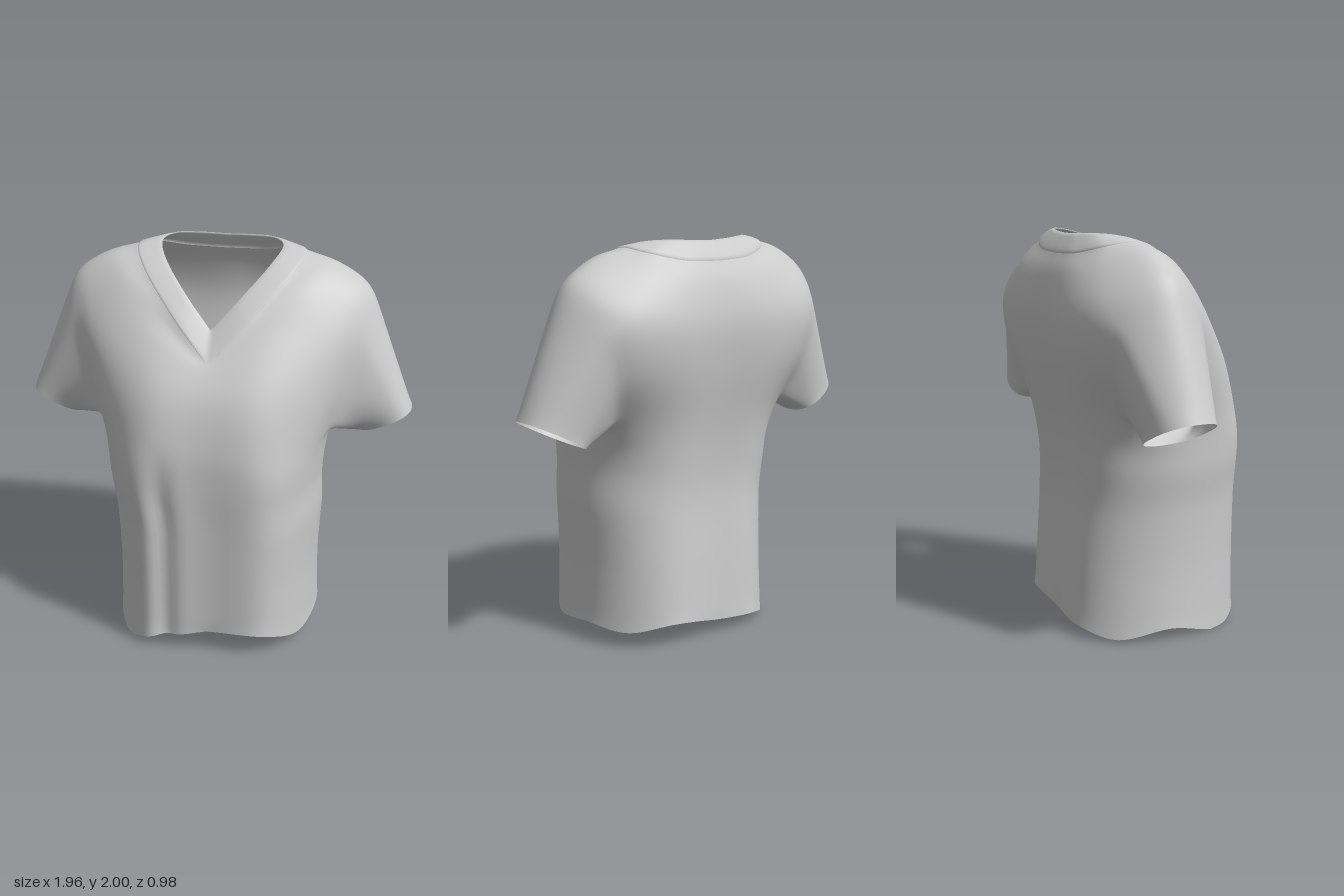
import * as THREE from 'three';
import { mergeVertices } from 'three/addons/utils/BufferGeometryUtils.js';

const SUB = 10; // subdivisions per control span
const V = (a) => new THREE.Vector3(...a);
const CENTRE = new THREE.Vector3(0, 1.7, -0.15);

// Half cross-sections, each running front centre -> side -> back centre.
const section = [[0, 0.465], [0.3, 0.477], [0.468, 0.3], [0.545, -0.02], [0.46, -0.25], [0.28, -0.375], [0, -0.37]];
const level = (y, sx, back) => section.map(([x, z], i) =>
  V([x * sx, Array.isArray(y) ? y[i] : y, z < 0 ? z * back : z]));

const collarOuter = [[0, 1.525, 0.295], [0.2, 1.73, 0.165], [0.37, 1.905, -0.02], [0.42, 1.96, -0.17],
  [0.37, 1.94, -0.3], [0.2, 1.9, -0.38], [0, 1.89, -0.395]].map(V);
const collarInner = [[0, 1.66, 0.18], [0.14, 1.81, 0.09], [0.265, 1.94, -0.06], [0.3, 1.985, -0.2],
  [0.25, 1.995, -0.285], [0.12, 1.99, -0.325], [0, 1.985, -0.335]].map(V);

const bodyRows = [
  level([0.12, 0.095, 0.025, 0.08, 0.05, 0.09, 0.08], 0.97, 1.07),
  level(0.4, 0.96, 1.02),
  level(0.75, 0.995, 0.96),
  level(0.98, 1.025, 1.01),
  // armpit, chest, upper arm and shoulder
  [[0, 1.13, 0.458], [0.3, 1.13, 0.457], [0.52, 1.13, 0.24], [0.585, 1.13, -0.07],
    [0.53, 1.13, -0.27], [0.3, 1.13, -0.405], [0, 1.13, -0.4]].map(V),
  [[0, 1.36, 0.405], [0.28, 1.38, 0.392], [0.57, 1.38, 0.19], [0.7, 1.4, -0.11],
    [0.6, 1.38, -0.38], [0.34, 1.4, -0.475], [0, 1.4, -0.455]].map(V),
  [[0, 1.475, 0.34], [0.3, 1.62, 0.24], [0.6, 1.65, 0.1], [0.765, 1.785, -0.15],
    [0.65, 1.65, -0.395], [0.36, 1.62, -0.49], [0, 1.62, -0.475]].map(V),
  [[0, 1.51, 0.308], [0.26, 1.71, 0.17], [0.48, 1.855, 0.02], [0.585, 1.92, -0.17],
    [0.49, 1.84, -0.35], [0.3, 1.81, -0.43], [0, 1.8, -0.44]].map(V),
  collarOuter,
];

const sample = (points, n) => new THREE.CatmullRomCurve3(points).getPoints(n);
const ring = (points) => sample(points, SUB * (points.length - 1));

// Collects quads for both mirrored halves, then welds them.
function sheet() {
  const pos = [];
  const tri = (p, q, r) => {
    for (const v of [p, q, r]) pos.push(v.x, v.y, v.z);
    for (const v of [p, r, q]) pos.push(-v.x, v.y, v.z);
  };
  return {
    quad(a, b, c, d) { tri(a, b, c); tri(a, c, d); },
    geometry() {
      const g = new THREE.BufferGeometry();
      g.setAttribute('position', new THREE.Float32BufferAttribute(pos, 3));
      return mergeVertices(g, 1e-4);
    },
  };
}

// Relaxes a welded mesh while leaving its open borders in place.
function relax(geo, passes) {
  const p = geo.attributes.position, idx = geo.index.array;
  const near = Array.from({ length: p.count }, () => new Map());
  const link = (a, b) => near[a].set(b, (near[a].get(b) || 0) + 1);
  for (let i = 0; i < idx.length; i += 3) {
    for (let k = 0; k < 3; k++) {
      const a = idx[i + k], b = idx[i + (k + 1) % 3];
      link(a, b);
      link(b, a);
    }
  }
  const pinned = near.map((m) => [...m.values()].includes(1));
  for (let n = 0; n < passes; n++) {
    const old = p.array.slice();
    near.forEach((m, i) => {
      if (pinned[i]) return;
      for (let k = 0; k < 3; k++) {
        let sum = 0;
        for (const j of m.keys()) sum += old[j * 3 + k];
        p.array[i * 3 + k] = 0.5 * old[i * 3 + k] + 0.5 * sum / m.size;
      }
    });
  }
}

// A soft vertical fold down the front, a shifted waist and an uneven hem.
function addFolds(geo) {
  const p = geo.attributes.position;
  for (let i = 0; i < p.count; i++) {
    let x = p.getX(i), y = p.getY(i), z = p.getZ(i);
    const low = THREE.MathUtils.smoothstep(1.2 - y, 0, 0.4);
    const front = THREE.MathUtils.smoothstep(z, 0.2, 0.4);
    z -= low * front * 0.035 * Math.exp(-(((x + 0.21) / 0.055) ** 2));
    if (Math.abs(x) < 0.6) {
      y += 0.18 * x * (1 - (x / 0.6) ** 2) * Math.max(0, 1 - y / 0.5);
      x += 0.018 * THREE.MathUtils.smoothstep(0.9 - y, 0, 0.25);
    }
    p.setXYZ(i, x, Math.max(0, y), z);
  }
}

function bodyGeometry() {
  const out = sheet();
  const rings = bodyRows.map(ring);
  const rows = SUB * (bodyRows.length - 1), cols = rings[0].length - 1;
  const grid = rings[0].map((_, c) => sample(rings.map((r) => r[c]), rows)); // grid[col][row]

  // torso with an armhole left open in the side
  const c0 = 24, c1 = 40, r0 = 40, r1 = 60;
  for (let c = 0; c < cols; c++) {
    for (let r = 0; r < rows; r++) {
      if (c >= c0 && c < c1 && r >= r0 && r < r1) continue;
      out.quad(grid[c][r], grid[c + 1][r], grid[c + 1][r + 1], grid[c][r + 1]);
    }
  }

  // sleeve from the armhole border to the rounded cuff
  const hole = [];
  for (let c = c0; c < c1; c++) hole.push(grid[c][r0]);
  for (let r = r0; r < r1; r++) hole.push(grid[c1][r]);
  for (let c = c1; c > c0; c--) hole.push(grid[c][r1]);
  for (let r = r1; r > r0; r--) hole.push(grid[c0][r]);
  const n = hole.length, steps = 18;
  const square = (v) => Math.sign(v) * Math.abs(v) ** 0.85;
  const cuff = hole.map((_, k) => {
    const a = Math.PI / 4 + (k / n) * Math.PI * 2, u = -square(Math.sin(a));
    return V([0.84 + 0.14 * u, 1.118 + 0.073 * u, -0.165 + 0.145 * square(Math.cos(a)) + 0.03 * u]);
  });
  const at = (k, t) => hole[k % n].clone().lerp(cuff[k % n], t / steps);
  for (let k = 0; k < n; k++) {
    for (let t = 0; t < steps; t++) out.quad(at(k, t), at(k + 1, t), at(k + 1, t + 1), at(k, t + 1));
  }

  const geo = out.geometry();
  relax(geo, 10);
  addFolds(geo);
  geo.computeVertexNormals();
  return geo;
}

// V-neck band: slightly raised, with a turned-in inner edge.
function collarGeometry() {
  const out = sheet();
  const outer = ring(collarOuter), inner = ring(collarInner);
  const profile = [[0, 0], [0.05, 0.012], [0.14, 0.02], [0.4, 0.02], [0.8, 0.013], [1, 0], [0.94, -0.02], [0.4, -0.025]];
  const rows = profile.map(([t, lift]) => outer.map((p, i) => {
    const q = p.clone().lerp(inner[i], t);
    return q.addScaledVector(q.clone().sub(CENTRE), lift);
  }));
  for (let r = 0; r < rows.length - 1; r++) {
    for (let c = 0; c < outer.length - 1; c++) {
      out.quad(rows[r][c], rows[r][c + 1], rows[r + 1][c + 1], rows[r + 1][c]);
    }
  }
  const geo = out.geometry();
  geo.computeVertexNormals();
  return geo;
}

export function createModel() {
  const group = new THREE.Group();
  group.name = 'shirt';
  const cloth = new THREE.MeshStandardMaterial({ color: 0xcccccc, side: THREE.DoubleSide });
  const add = (name, geometry) => {
    const mesh = new THREE.Mesh(geometry, cloth);
    mesh.name = name;
    group.add(mesh);
  };
  add('bodyAndSleeves', bodyGeometry());
  add('collar', collarGeometry());
  return group;
}
